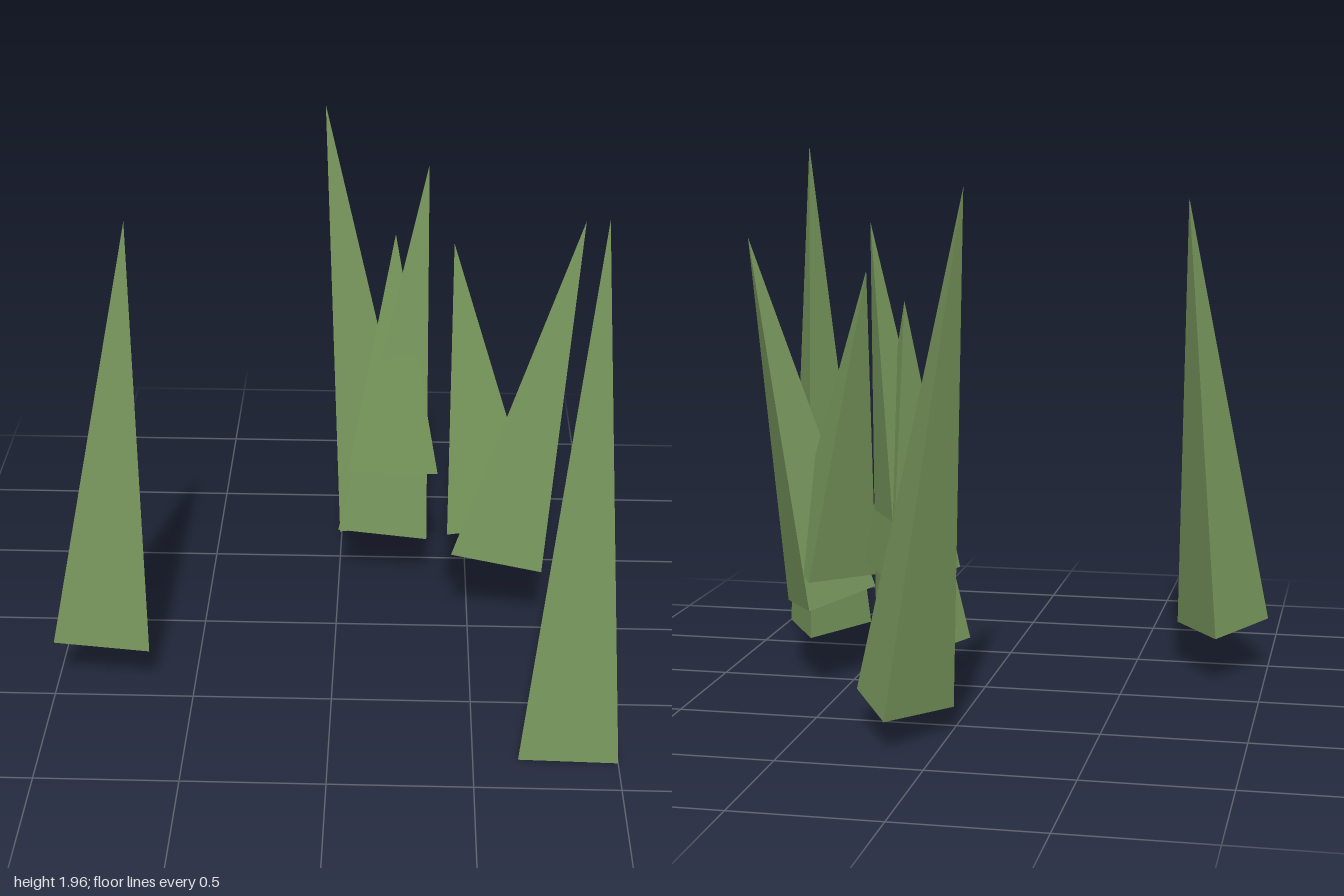
import * as THREE from 'three';

// base centre x, y, z, height, sideways lean (radians, positive leans to +x)
const BLADES = [
  [-0.828, 0.187, 0.365, 1.61, 0.087],
  [0.828, 0.01, 0.75, 1.96, 0.02],
  [0.168, 0.112, -0.653, 1.762, -0.13],
  [0.17, 0.244, -0.372, 1.494, 0.104],
  [0.207, 0.515, -0.372, 0.945, 0],
  [0.584, 0.437, -0.093, 1.116, -0.152],
  [0.598, 0.32, -0.043, 1.358, 0.202],
];

export function createModel() {
  const model = new THREE.Group();
  model.name = 'grassTuft';
  const green = new THREE.MeshStandardMaterial({ color: 0x7a9a5e, flatShading: true });

  // each blade is a closed three-sided spike, one corner pointing back
  BLADES.forEach(([x, y, z, height, lean], i) => {
    const geometry = new THREE.ConeGeometry(0.199, height, 3);
    geometry.rotateY(Math.PI);
    geometry.translate(0, height / 2, 0); // pivot at the base
    const blade = new THREE.Mesh(geometry, green);
    blade.name = `grassBlade${i + 1}`;
    blade.position.set(x, y, z);
    blade.rotation.z = -lean;
    model.add(blade);
  });

  return model;
}
